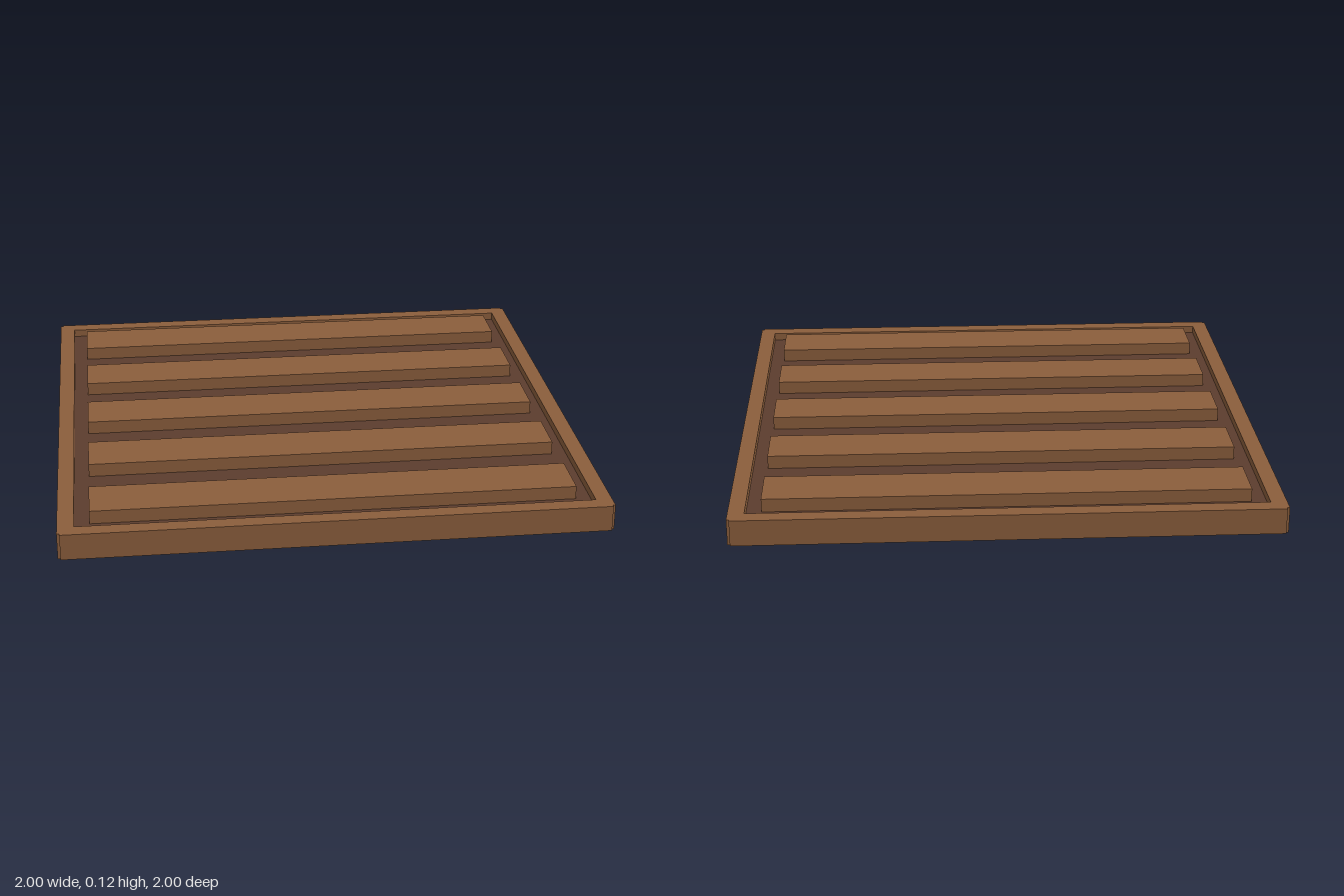
import * as THREE from 'three';

export function createModel() {
  const group = new THREE.Group();
  const wood = new THREE.MeshStandardMaterial({ color: 0x8b5e3c });
  wood.name = 'mid brown wood';
  const darkWood = new THREE.MeshStandardMaterial({ color: 0x5c3d2e });
  darkWood.name = 'dark brown wood';

  // Box given by its size, centre in x and z, and bottom height
  function board(name, material, [w, h, d], x, bottom, z) {
    const mesh = new THREE.Mesh(new THREE.BoxGeometry(w, h, d), material);
    mesh.name = name;
    mesh.position.set(x, bottom + h / 2, z);
    group.add(mesh);
  }

  // Recessed base panel, its underside just proud of the rails
  board('basePanel', darkWood, [1.91, 0.07, 1.91], 0, 0, 0);

  // Frame rails, a touch short so each corner has a small notch
  const railWidth = 0.06, railHeight = 0.098, railLength = 1.98;
  for (const side of [-1, 1]) {
    const offset = side * (1 - railWidth / 2);
    board(side > 0 ? 'frontRail' : 'backRail', wood, [railLength, railHeight, railWidth], 0, 0.002, offset);
    board(side > 0 ? 'leftRail' : 'rightRail', wood, [railWidth, railHeight, railLength], offset, 0.002, 0);
  }

  // Five raised slats across the panel
  for (let i = -2; i <= 2; i++) {
    board('slat' + (i + 3), wood, [1.77, 0.06, 0.198], 0, 0.06, i * 0.384);
  }
  return group;
}
